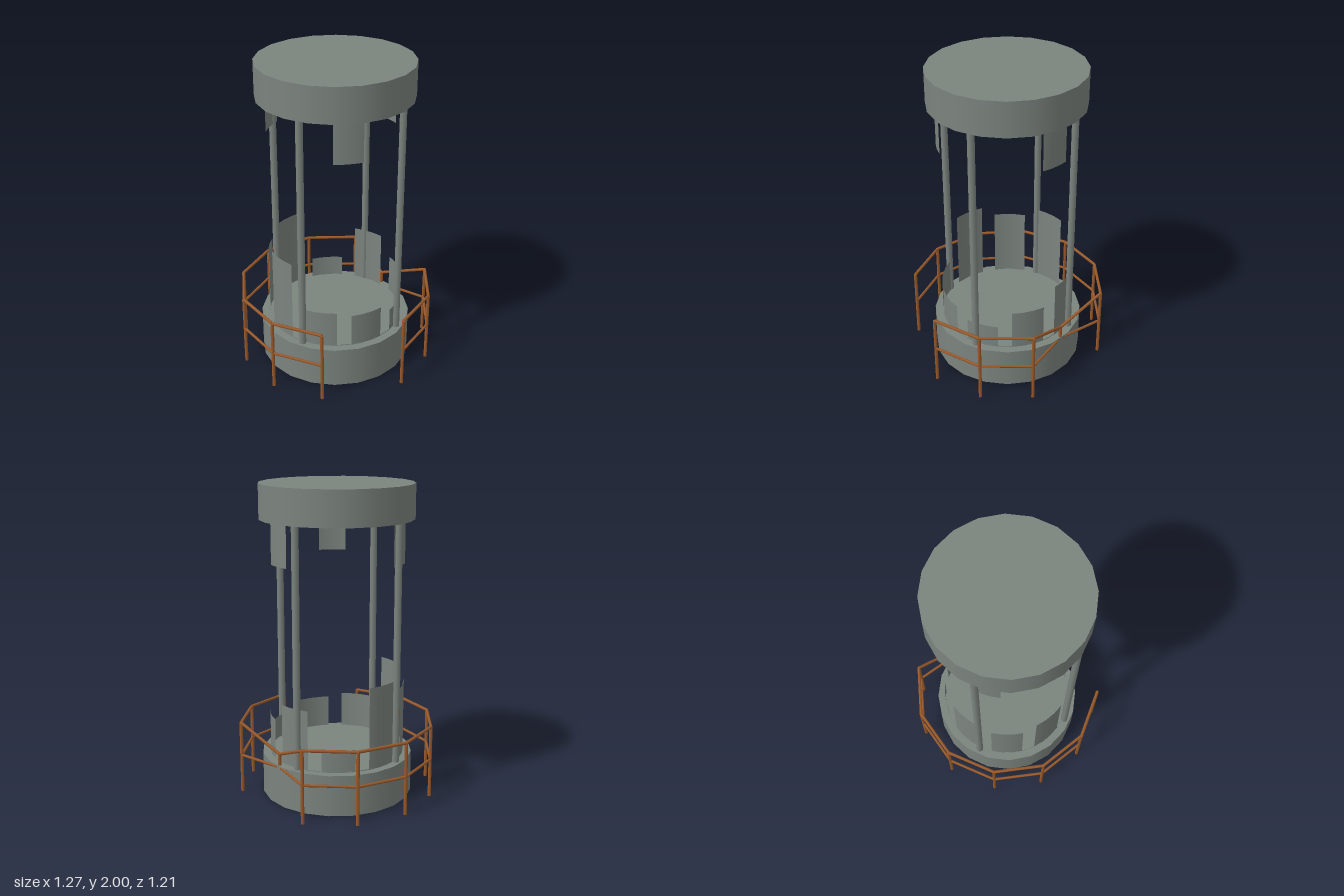
import * as THREE from 'three';

const metal = new THREE.MeshStandardMaterial({ name: 'grey metal', color: 0x7c847e });
const panelMetal = new THREE.MeshStandardMaterial({ name: 'grey panel', color: 0x7c847e, side: THREE.DoubleSide });
const rust = new THREE.MeshStandardMaterial({ name: 'rusty brown', color: 0x98592b });

const CZ = 0.03; // z of the tower's axis
const rad = THREE.MathUtils.degToRad;

// Point on a circle round the tower's axis; 0 degrees faces the front
const around = (deg, r, y) =>
  new THREE.Vector3(r * Math.sin(rad(deg)), y, CZ + r * Math.cos(rad(deg)));

function add(parent, name, geometry, material) {
  const mesh = new THREE.Mesh(geometry, material);
  mesh.name = name;
  parent.add(mesh);
  return mesh;
}

function drum(parent, name, r, y0, y1) {
  const mesh = add(parent, name, new THREE.CylinderGeometry(r, r, y1 - y0, 20), metal);
  mesh.position.set(0, (y0 + y1) / 2, CZ);
}

// Round bar between two points
function bar(parent, name, a, b, r, material, sides = 8) {
  const mesh = add(parent, name, new THREE.CylinderGeometry(r, r, a.distanceTo(b), sides), material);
  mesh.position.copy(a).add(b).multiplyScalar(0.5);
  mesh.quaternion.setFromUnitVectors(new THREE.Vector3(0, 1, 0), b.clone().sub(a).normalize());
}

// Thin curved remnant of the broken tube wall
function wallPanel(parent, name, deg, halfWidth, y0, y1) {
  const geometry = new THREE.CylinderGeometry(0.433, 0.433, y1 - y0, 3, 1, true,
    rad(deg - halfWidth), rad(2 * halfWidth));
  add(parent, name, geometry, panelMetal).position.set(0, (y0 + y1) / 2, CZ);
}

export function createModel() {
  const model = new THREE.Group();
  model.name = 'brokenTower';

  // Base with its floor, and the cap
  drum(model, 'base', 0.4875, 0, 0.265);
  drum(model, 'floor', 0.435, 0.25, 0.27);
  drum(model, 'cap', 0.4875, 1.78, 2);

  // Four columns
  for (const deg of [45, 135, 225, 315])
    bar(model, 'column', around(deg, 0.445, 0.26), around(deg, 0.445, 1.79), 0.023, metal);

  // Broken panels standing on the base, clockwise from the front
  [0.48, 0.42, 0.53, 0.65, 0.41, 0.795, 0.73, 0.8, 0.505].forEach((top, i) =>
    wallPanel(model, 'lowerPanel', 10 + 40 * i, 14, 0.26, top));

  // Broken panels hanging from the cap
  for (const deg of [-7.5, 112.5, 232.5]) wallPanel(model, 'upperPanel', deg, 12, 1.515, 1.79);

  // Railing, open at the front, with one post bent in against the base
  const railing = new THREE.Group();
  railing.name = 'railing';
  model.add(railing);
  const topY = 0.472, midY = 0.25;
  const posts = [];
  for (let i = -5; i <= 5; i++) {
    const bent = i === -2;
    const top = bent ? new THREE.Vector3(0.413, 0.338, -0.195) : around(180 + 31 * i, 0.625, topY);
    const foot = top.clone().setY(bent ? 0.1 : 0);
    bar(railing, 'post', foot, top, 0.011, rust);
    posts.push(top);
  }
  for (let i = 0; i < posts.length - 1; i++) {
    const a = posts[i], b = posts[i + 1];
    bar(railing, 'topRail', a, b, 0.01, rust);
    bar(railing, 'middleRail', a.clone().setY(midY), b.clone().setY(midY), 0.009, rust);
  }
  return model;
}
